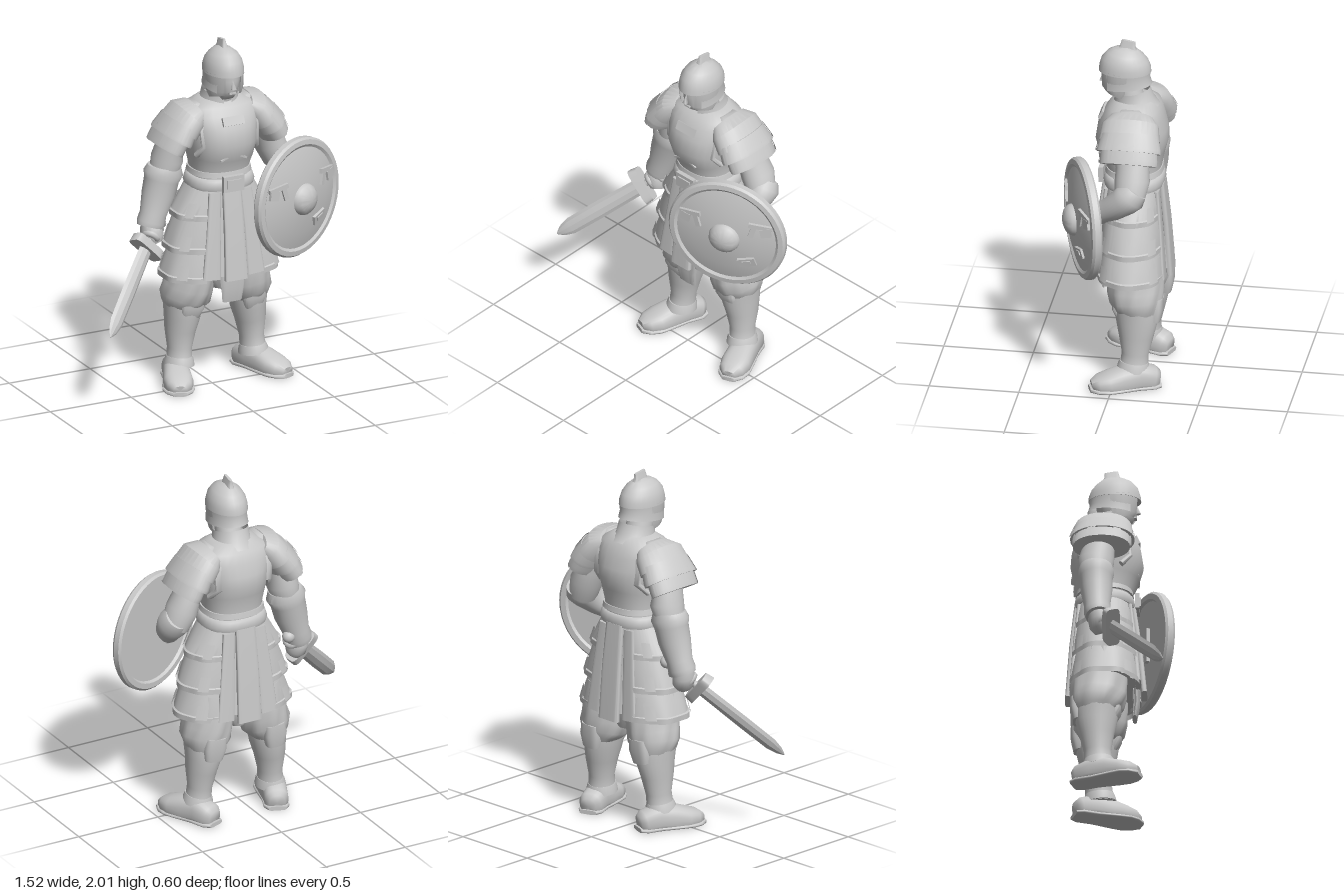
import * as THREE from 'three';
import { toCreasedNormals } from 'three/addons/utils/BufferGeometryUtils.js';

const MID = 0.08; // x of the figure's own centre line
const grey = new THREE.MeshStandardMaterial({ color: 0xc8c8c8, side: THREE.DoubleSide });
grey.name = 'stoneGrey';

// Skin through elliptical rings [x, y, z, ra, rb] placed across a path.
function loft(pts, { seg = 28, pow = 1, arc = null, ref = [0, 0, 1], mod = null, crease = 0.85, floor = null } = {}) {
  const P = pts.map(p => new THREE.Vector3(p[0], p[1], p[2]));
  const R = new THREE.Vector3(...ref), n = P.length, rows = [];
  const [t0, t1] = arc || [0, Math.PI * 2];
  const bend = v => Math.sign(v) * Math.pow(Math.abs(v), pow);
  P.forEach((c, i) => {
    const t = P[Math.min(i + 1, n - 1)].clone().sub(P[Math.max(i - 1, 0)]).normalize();
    const a = t.clone().cross(R).normalize(), b = a.clone().cross(t), row = [];
    for (let j = 0; j <= seg; j++) {
      const th = t0 + (t1 - t0) * j / seg, m = mod ? mod(th, i / (n - 1)) : 1;
      row.push(c.clone().addScaledVector(a, bend(Math.cos(th)) * pts[i][3] * m)
        .addScaledVector(b, bend(Math.sin(th)) * pts[i][4] * m));
    }
    rows.push(row);
  });
  if (!arc) {
    rows.unshift(rows[0].map(() => P[0].clone()));
    rows.push(rows[0].map(() => P[n - 1].clone()));
  }
  const pos = [], idx = [], w = seg + 1;
  rows.forEach(r => r.forEach(v => pos.push(v.x, floor === null ? v.y : Math.max(v.y, floor), v.z)));
  for (let i = 0; i < rows.length - 1; i++) for (let j = 0; j < seg; j++) {
    const k = i * w + j;
    idx.push(k, k + w, k + 1, k + 1, k + w, k + w + 1);
  }
  const g = new THREE.BufferGeometry();
  g.setAttribute('position', new THREE.Float32BufferAttribute(pos, 3));
  g.setIndex(idx);
  return toCreasedNormals(g, crease);
}

function add(parent, name, geo, p = [0, 0, 0], r = [0, 0, 0]) {
  const m = new THREE.Mesh(geo, grey);
  m.name = name;
  m.position.set(...p);
  m.rotation.set(...r);
  parent.add(m);
}
const box = (x, y, z) => new THREE.BoxGeometry(x, y, z);
const group = (parent, name, p = [0, 0, 0]) => {
  const g = new THREE.Group();
  g.name = name;
  g.position.set(...p);
  parent.add(g);
  return g;
};

function buildHead(body) {
  const h = group(body, 'head');
  add(h, 'neck', loft([[0, 1.6, -.07, .08, .08], [0, 1.74, -.03, .07, .075]]));
  add(h, 'face', loft([[0, 1.67, .035, .03, .045], [0, 1.695, .02, .055, .08], [0, 1.76, -.01, .08, .11], [0, 1.84, -.02, .09, .118]], { crease: 1.2 }));
  add(h, 'nose', new THREE.ConeGeometry(.016, .06, 4), [0, 1.775, .1], [-.2, Math.PI / 4, 0]);
  add(h, 'mouth', box(.04, .01, .016), [0, 1.72, .088]);
  add(h, 'helmetDome', loft([[0, 1.82, -.025, .109, .146], [0, 1.85, -.025, .107, .143], [0, 1.89, -.025, .098, .13],
    [0, 1.925, -.028, .077, .102], [0, 1.95, -.03, .046, .068], [0, 1.965, -.03, .012, .02]], { crease: 1.2 }));
  add(h, 'neckGuard', loft([[0, 1.735, -.03, .108, .147], [0, 1.78, -.025, .104, .139], [0, 1.83, -.025, .107, .143]], { arc: [2.45, 6.97] }));
  for (const s of [1, -1]) {
    const arc = s > 0 ? [-.2, 1.1] : [Math.PI - 1.1, Math.PI + .2];
    add(h, 'cheekGuard', loft([[0, 1.685, -.005, .09, .1], [0, 1.72, -.015, .1, .125], [0, 1.83, -.025, .108, .143]], { arc, seg: 10 }));
  }
  add(h, 'crest', loft([[0, 1.94, -.04, .022, .055], [0, 1.97, -.04, .015, .042], [0, 2, -.045, .008, .038]], { pow: .5 }));
  add(h, 'collar', loft([[0, 1.6, -.085, .135, .135], [0, 1.65, -.075, .105, .112], [0, 1.71, -.065, .1, .1]], { arc: [1.8, 7.62] }));
}

function buildTorso(body) {
  const t = group(body, 'torso');
  add(t, 'cuirass', loft([[0, 1.18, -.08, .165, .15], [0, 1.26, -.08, .165, .152], [0, 1.34, -.072, .182, .18], [0, 1.42, -.067, .2, .202],
    [0, 1.5, -.072, .208, .193], [0, 1.57, -.08, .22, .165], [0, 1.62, -.085, .2, .14], [0, 1.66, -.085, .11, .1]], { pow: .85, crease: 1.2 }));
  add(t, 'cuirassHem', loft([[0, 1.225, -.08, .178, .162], [0, 1.255, -.08, .172, .157]], { pow: .85 }));
  add(t, 'chestPlate', box(.13, .05, .024), [0, 1.56, .096], [-.45, 0, 0]);
  for (const s of [1, -1]) {
    add(t, 'chestRidge', box(.085, .01, .01), [s * .04, 1.355, .108], [.1, 0, -s * .45]);
    // Raised rim runs round the armhole.
    add(t, 'armholeRim', loft([[s * .18, 1.36, .01, .014, .02], [s * .15, 1.42, .06, .014, .026], [s * .155, 1.55, .04, .014, .03], [s * .165, 1.635, -.035, .014, .03],
      [s * .165, 1.635, -.125, .014, .03], [s * .155, 1.55, -.205, .014, .03], [s * .15, 1.42, -.215, .014, .026], [s * .18, 1.36, -.155, .014, .02]],
      { pow: .6, seg: 12, ref: [1, 0, 0] }));
  }
  add(t, 'belt', loft([[0, 1.15, -.08, .19, .165], [0, 1.17, -.08, .196, .17], [0, 1.205, -.08, .185, .165], [0, 1.215, -.08, .175, .155]], { pow: .85 }));
  add(t, 'buckle', box(.125, .09, .025), [0, 1.195, .1]);
  add(t, 'buckleInset', box(.085, .05, .012), [0, 1.195, .114]);
}

function buildSkirt(body) {
  const k = group(body, 'skirt');
  add(k, 'pleatedSkirt', loft([[0, 1.18, -.08, .175, .15], [0, 1.0, -.08, .235, .16], [0, .82, -.08, .28, .175], [0, .66, -.08, .315, .19]],
    { seg: 110, pow: .9, mod: (th, u) => 1 + .05 * u * Math.cos(18 * th) }));
  // Overlapping plates hang on each hip.
  const tiers = [[1.17, .985, .185, .282, .15, .172], [1.02, .8, .245, .325, .168, .192], [.84, .635, .275, .348, .18, .208]];
  for (const s of [1, -1]) {
    const span = q => s > 0 ? [-q, q] : [Math.PI - q, Math.PI + q];
    tiers.forEach(([y0, y1, a0, a1, b0, b1], i) => {
      add(k, 'hipPlate' + (i + 1), loft([[0, y1, -.08, a1, b1], [0, y1 + .03, -.08, a1, b1], [0, y1 + .035, -.08, a1 - .01, b1 - .008],
        [0, (y0 + y1) / 2, -.08, a0 + (a1 - a0) * .55, b0 + (b1 - b0) * .55], [0, y0, -.08, a0, b0]],
        { arc: span(1.13), seg: 40, pow: .85, crease: .5, mod: (th, u) => 1 + (1 - u) * .015 * Math.cos(9 * th) }));
      for (const q of [-.72, .62]) {
        const c = s > 0 ? q : Math.PI - q;
        add(k, 'hipPanel', loft([[0, y1 + .02, -.08, a1 + .006, b1 + .006], [0, y1 + .1, -.08, a1 - (a1 - a0) * .35 + .005, b1 - (b1 - b0) * .35 + .005]],
          { arc: [c - .13, c + .13], seg: 5, pow: .85 }));
      }
    });
    // Loose tassets beside the centre flaps.
    add(k, 'frontTasset', loft([[s * .095, 1.14, .06, .036, .012], [s * .115, .9, .085, .042, .014], [s * .135, .65, .105, .055, .016]], { pow: .5 }));
    add(k, 'backTasset', loft([[s * .095, 1.14, -.22, .036, .012], [s * .115, .9, -.24, .042, .014], [s * .135, .63, -.258, .052, .016]], { pow: .5 }));
  }
  add(k, 'frontFlap', loft([[0, 1.16, .078, .055, .014], [0, .92, .11, .06, .016], [0, .64, .138, .068, .016]], { pow: .35 }));
  add(k, 'backFlap', loft([[0, 1.16, -.235, .06, .014], [0, .92, -.26, .066, .016], [0, .61, -.283, .072, .016]], { pow: .35 }));
  add(k, 'loinCloth', loft([[0, .72, .09, .08, .02], [0, .58, .095, .065, .018], [0, .5, .085, .055, .012]],
    { pow: .6, mod: th => 1 + .08 * Math.cos(8 * th) }));
  add(k, 'hips', loft([[0, .54, -.1, .06, .09], [0, .62, -.1, .17, .12], [0, .75, -.09, .24, .15]]));
}

function buildLeg(body, s) {
  const l = group(body, s > 0 ? 'leftLeg' : 'rightLeg');
  add(l, 'baggyTrouser', loft([[s * .15, .76, -.1, .13, .15], [s * .165, .64, -.11, .135, .158], [s * .175, .56, -.112, .135, .156],
    [s * .188, .5, -.12, .14, .146], [s * .196, .46, -.124, .118, .13], [s * .197, .43, -.122, .1, .112]],
    { seg: 40, crease: 1, mod: (th, u) => 1 + .03 * Math.sin(u * 3) * Math.cos(9 * th + u * 5) }));
  add(l, 'kneeGuard', loft([[s * .195, .4, -.045, .055, .03], [s * .19, .46, -.02, .07, .034], [s * .185, .53, -.02, .055, .028]], { pow: .7 }));
  add(l, 'calfStrap', loft([[s * .195, .4, -.21, .055, .045], [s * .19, .47, -.225, .068, .045], [s * .185, .53, -.225, .06, .045]], { pow: .6 }));
  add(l, 'greave', loft([[s * .197, .475, -.12, .112, .12], [s * .2, .44, -.122, .107, .12], [s * .204, .38, -.124, .098, .114],
    [s * .216, .3, -.122, .085, .096], [s * .222, .2, -.118, .068, .075], [s * .227, .13, -.112, .07, .078], [s * .23, .1, -.11, .078, .088]]));
  add(l, 'ankleRim', loft([[s * .226, .15, -.112, .072, .08], [s * .228, .125, -.11, .08, .088], [s * .23, .1, -.108, .084, .092]]));
  const f = group(l, 'foot', [s * .247, 0, -.115]);
  f.rotation.y = s * .36;
  const o = { ref: [0, 1, 0], floor: .005, pow: .8, crease: 1 };
  add(f, 'boot', loft([[0, .04, -.138, .045, .05], [0, .045, -.11, .066, .07], [0, .06, -.03, .07, .085], [0, .05, .06, .078, .08],
    [0, .04, .14, .084, .064], [0, .035, .2, .07, .05], [0, .03, .238, .038, .028]], o));
  add(f, 'sole', loft([[0, .012, -.148, .05, .012], [0, .012, -.11, .072, .012], [0, .012, -.02, .07, .012], [0, .012, .1, .086, .012],
    [0, .012, .16, .09, .012], [0, .012, .21, .075, .012], [0, .012, .25, .038, .012]], { ...o, pow: .5, floor: 0 }));
}

function buildShoulder(body, s) {
  const p = group(body, s > 0 ? 'leftPauldron' : 'rightPauldron');
  const tiers = [[[.145, 1.6, -.085, .06, .12], [.19, 1.575, -.085, .092, .158], [.245, 1.505, -.088, .098, .17]],
    [[.235, 1.54, -.088, .088, .158], [.28, 1.468, -.09, .098, .178], [.288, 1.455, -.09, .098, .178]],
    [[.275, 1.49, -.09, .085, .155], [.316, 1.415, -.095, .086, .16], [.326, 1.397, -.095, .084, .158]]];
  tiers.forEach((t, i) => {
    const pts = t.map(q => [s * q[0], ...q.slice(1)]);
    add(p, 'pauldronPlate' + (i + 1), loft(pts, { crease: .7, pow: .95 }));
    if (i > 0) for (const q of [1.75, 2.6, 3.5, 4.4]) {
      const c = s > 0 ? q : Math.PI - q;
      add(p, 'pauldronPanel', loft(pts.map(v => [v[0], v[1], v[2], v[3] + .005, v[4] + .005]), { arc: [c - .15, c + .15], seg: 5, pow: .95 }));
    }
  });
}

function buildRightArm(root) {
  const a = group(root, 'rightArm');
  add(a, 'sleeve', loft([[-.18, 1.5, -.1, .08, .1], [-.21, 1.38, -.115, .075, .092], [-.215, 1.32, -.125, .088, .1], [-.235, 1.25, -.125, .08, .088]], { crease: 1.2 }));
  add(a, 'bracer', loft([[-.232, 1.28, -.125, .095, .09], [-.238, 1.24, -.125, .114, .1], [-.25, 1.2, -.125, .1, .092], [-.27, 1.12, -.122, .096, .088],
    [-.305, 1.01, -.118, .076, .072], [-.32, .965, -.115, .08, .076], [-.328, .94, -.112, .075, .07]], { crease: .8 }));
  add(a, 'fist', loft([[-.328, .97, -.115, .05, .05], [-.325, .925, -.105, .062, .065], [-.315, .88, -.095, .06, .065], [-.305, .85, -.085, .04, .045]]));
  // Sword frame: local y runs to the tip, local x across the blade.
  const d = new THREE.Vector3(-.619, -.619, .485).normalize(), w = new THREE.Vector3(1, -1, 0).normalize();
  const sw = group(a, 'sword', [-.385, .85, -.04]);
  sw.quaternion.setFromRotationMatrix(new THREE.Matrix4().makeBasis(w, d, w.clone().cross(d)));
  add(sw, 'blade', loft([[0, 0, 0, .045, .024], [0, .3, 0, .049, .022], [0, .5, 0, .047, .019], [0, .56, 0, .03, .011], [0, .598, 0, .003, .002]], { seg: 8, crease: .3, pow: 1.3 }));
  add(sw, 'guard', loft([[0, -.03, 0, .1, .04], [0, .022, 0, .106, .044]], { pow: .4 }));
  add(sw, 'grip', new THREE.CylinderGeometry(.02, .02, .22, 12), [0, -.12, 0]);
  add(sw, 'pommel', new THREE.SphereGeometry(.036, 14, 10), [0, -.235, 0]);
  for (let i = 0; i < 4; i++) add(sw, 'finger', new THREE.TorusGeometry(.035, .02, 8, 14), [0, -.07 - i * .034, 0], [Math.PI / 2, 0, 0]);
}

function buildLeftArm(root) {
  const a = group(root, 'leftArm');
  add(a, 'sleeve', loft([[.35, 1.5, -.1, .08, .1], [.385, 1.38, -.115, .075, .092], [.415, 1.31, -.12, .088, .098], [.455, 1.21, -.11, .076, .083]], { crease: 1.2 }));
  add(a, 'bracer', loft([[.455, 1.27, -.14, .07, .074], [.465, 1.235, -.115, .088, .09], [.463, 1.205, -.085, .08, .084], [.44, 1.145, -.015, .07, .072],
    [.405, 1.1, .045, .06, .06], [.39, 1.085, .065, .065, .063]], { crease: .8 }));
  add(a, 'fist', loft([[.395, 1.09, .055, .05, .05], [.37, 1.07, .09, .058, .055], [.345, 1.05, .125, .045, .045]]));
  const sh = group(a, 'shield', [.44, 1.07, .142]);
  sh.rotation.y = .405;
  const profile = [[0, -.005], [.29, -.005], [.3, -.02], [.33, -.02], [.342, -.008], [.342, .022], [.332, .036], [.305, .04], [.29, .03],
    [.2, .056], [.09, .068], [.084, .088], [.065, .108], [.035, .12], [0, .125]].map(p => new THREE.Vector2(...p));
  add(sh, 'shieldDisc', toCreasedNormals(new THREE.LatheGeometry(profile, 48), .6), [0, 0, 0], [Math.PI / 2, 0, 0]);
  add(sh, 'shieldHandle', box(.035, .2, .02), [-.09, 0, -.03]);
  // Raised geometric ornaments around the boss.
  for (const s of [1, -1]) {
    const o = group(sh, 'ornament', [s * .205, .08, .054]);
    o.rotation.y = s * .2;
    add(o, 'ornamentBar', box(.13, .026, .016), [0, .035, 0], [0, 0, -s * .12]);
    add(o, 'ornamentBlock', box(.06, .055, .02), [s * .03, 0, 0], [0, 0, s * .2]);
    add(o, 'ornamentHook', box(.03, .07, .016), [-s * .045, -.005, 0], [0, 0, -s * .3]);
  }
  add(sh, 'lowerOrnament', box(.1, .055, .02), [.13, -.14, .058], [.2, .15, .25]);
  add(sh, 'lowerOrnamentInset', box(.05, .025, .012), [.13, -.14, .068], [.2, .15, .25]);
}

export function createModel() {
  const root = new THREE.Group();
  root.name = 'armouredWarrior';
  const body = group(root, 'body', [MID, 0, 0]);
  buildHead(body);
  buildTorso(body);
  buildSkirt(body);
  for (const s of [1, -1]) {
    buildLeg(body, s);
    buildShoulder(body, s);
  }
  buildRightArm(root);
  buildLeftArm(root);
  return root;
}
